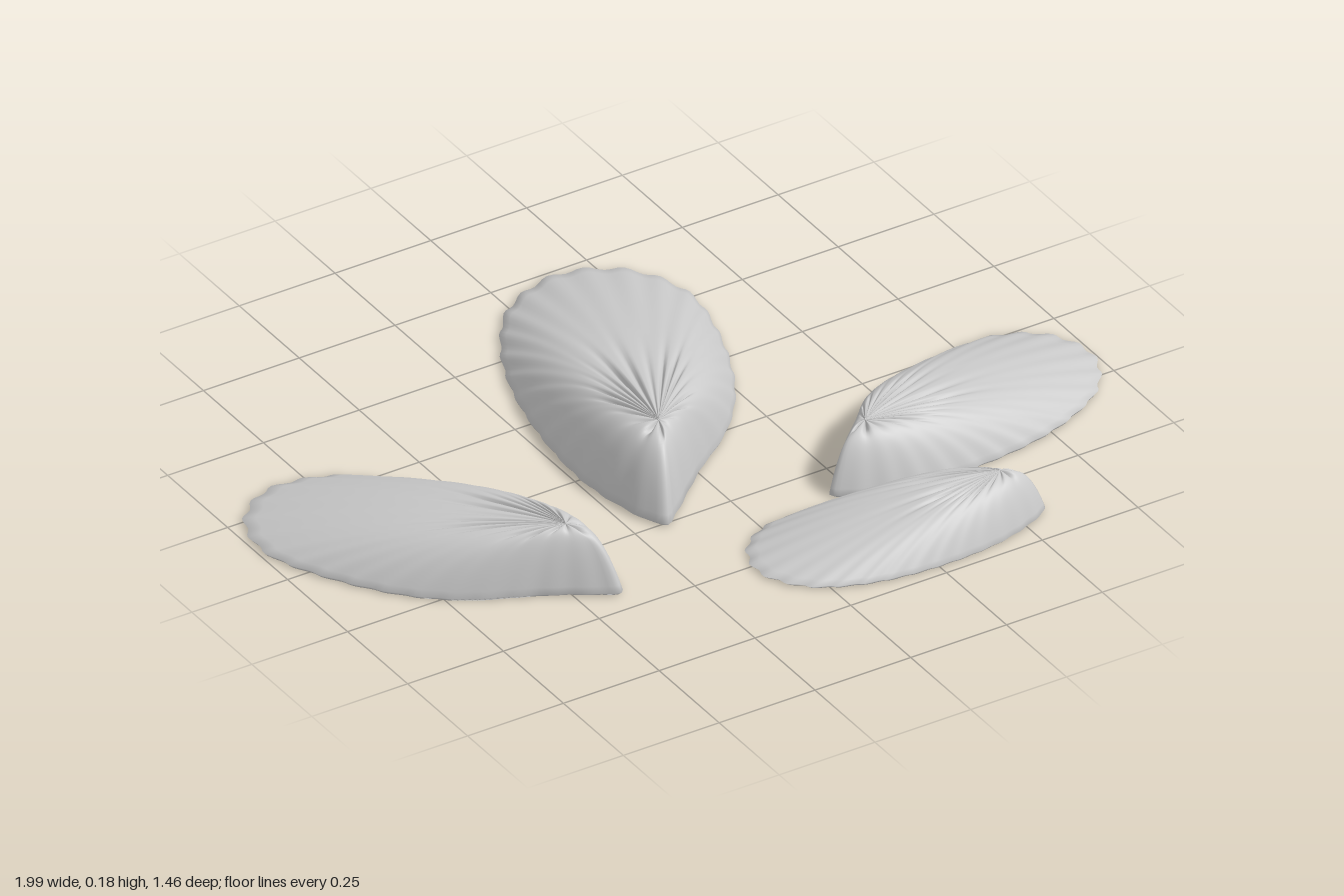
import * as THREE from 'three';

const SEGMENTS = 168, RINGS = 26, HEIGHT = 0.175, THICKNESS = 0.009;

// Teardrop rim of a valve, [sideways, forward] from the pointed hinge end
const OUTLINE = [
  [0, -0.005], [-0.032, 0.012], [-0.101, 0.114], [-0.149, 0.225], [-0.193, 0.421],
  [-0.209, 0.626], [-0.19, 0.791], [-0.133, 0.936], [0, 1.04], [0.155, 1.022],
  [0.261, 0.909], [0.291, 0.74], [0.275, 0.503], [0.222, 0.348], [0.117, 0.187], [0.025, 0.03],
];
const APEX = new THREE.Vector2(0.015, 0.15);

const material = new THREE.MeshStandardMaterial({ color: 0xcccccc, side: THREE.DoubleSide });

// Irregular radial folds around the rim, between 0 and 1
function fold(a) {
  const wave = 0.5 + 0.5 * Math.cos(19 * a + 0.9 * Math.sin(3 * a + 1));
  return Math.pow(wave, 3) * (0.65 + 0.35 * Math.sin(5 * a + 0.6));
}

// Hollow valve: rings run from the apex out to the rim, then back along the inside
function valveGeometry(scale, mirrored) {
  const curve = new THREE.CatmullRomCurve3(
    OUTLINE.map(([t, s]) => new THREE.Vector3(t, 0, s)), true, 'centripetal');
  const rim = curve.getSpacedPoints(SEGMENTS).slice(0, SEGMENTS);
  const side = mirrored ? -1 : 1;

  const rings = [];
  for (let i = 0; i <= RINGS; i++) {
    rings.push({ f: Math.pow(i / RINGS, 1.1), inner: false });
  }
  for (let i = RINGS; i >= 0; i--) {
    rings.push({ f: Math.pow(i / RINGS, 1.1), inner: true });
  }

  const positions = [], indices = [];
  for (const { f, inner } of rings) {
    rim.forEach((p, j) => {
      const a = (j / SEGMENTS) * Math.PI * 2;
      const dx = p.x - APEX.x, dz = p.z - APEX.y;
      const reach = Math.hypot(dx, dz);
      // short rays fall steeply, the long back slopes gently
      const power = THREE.MathUtils.clamp(3.1 - 1.6 * reach, 1.7, 3);
      const crease = fold(a) * (0.10 * Math.exp(-Math.pow((f - 0.2) / 0.2, 2)) + 0.03 * f * (1 - f));
      const scallop = 1 + 0.012 * f * f * Math.cos(28 * a) / (0.6 + reach);
      const k = f * scallop * (inner ? 1 - THICKNESS / reach : 1);
      let y = 0.007 + HEIGHT * (1 - Math.pow(f, power)) * (1 - crease);
      if (inner) y = Math.max(0, y - THICKNESS);
      positions.push(
        side * (APEX.x + dx * k) * scale, y * scale, -(APEX.y + dz * k) * scale);
    });
  }
  for (let i = 0; i < rings.length - 1; i++) {
    for (let j = 0; j < SEGMENTS; j++) {
      const n = (j + 1) % SEGMENTS;
      const a = i * SEGMENTS + j, b = i * SEGMENTS + n;
      const c = a + SEGMENTS, d = b + SEGMENTS;
      if (mirrored) indices.push(a, c, d, a, d, b);
      else indices.push(a, d, c, a, b, d);
    }
  }
  const geometry = new THREE.BufferGeometry();
  geometry.setAttribute('position', new THREE.Float32BufferAttribute(positions, 3));
  geometry.setIndex(indices);
  geometry.computeVertexNormals();
  return geometry;
}

// Hinge position, growing direction, size and handedness of every valve
const VALVES = [
  { name: 'largeShell', tip: [-0.17, 0.26], dir: [0.316, -0.949], scale: 1, mirrored: false },
  { name: 'rightShell', tip: [-0.41, 0.44], dir: [-0.5, -0.866], scale: 0.85, mirrored: true },
  { name: 'leftShell', tip: [0.2, 0.35], dir: [0.976, -0.22], scale: 0.78, mirrored: true },
  { name: 'smallShell', tip: [0.57, 0.64], dir: [-0.989, -0.15], scale: 0.655, mirrored: false },
];

export function createModel() {
  const model = new THREE.Group();
  model.name = 'shells';
  for (const { name, tip, dir, scale, mirrored } of VALVES) {
    const shell = new THREE.Mesh(valveGeometry(scale, mirrored), material);
    shell.name = name;
    shell.position.set(tip[0], 0, tip[1]);
    shell.rotation.y = Math.atan2(-dir[0], -dir[1]);
    model.add(shell);
  }
  return model;
}
